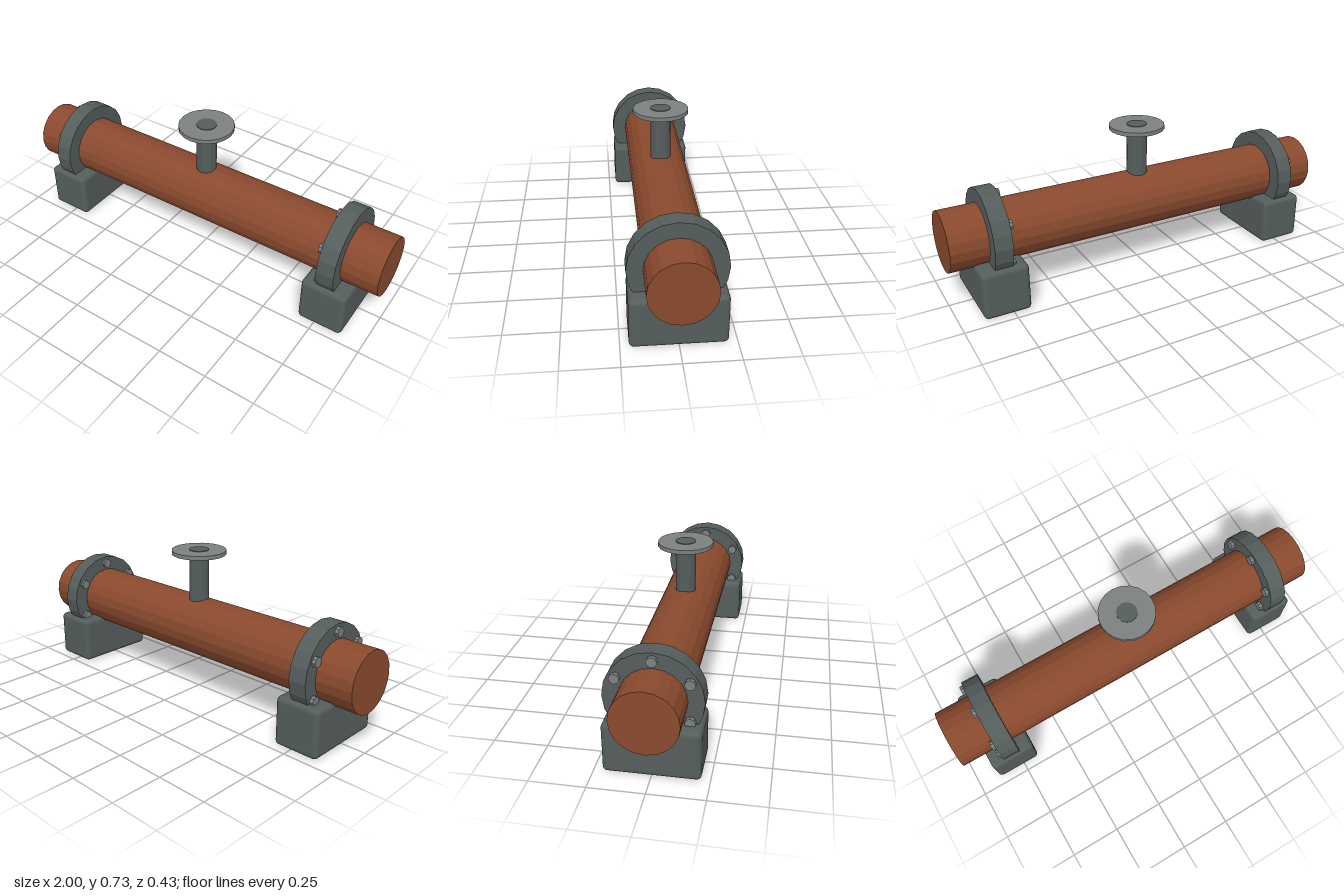
import * as THREE from 'three';
import { RoundedBoxGeometry } from 'three/addons/geometries/RoundedBoxGeometry.js';

export function createModel() {
  const model = new THREE.Group();
  model.name = 'pipeAssembly';

  const material = (name, color, flatShading = false) =>
    Object.assign(new THREE.MeshStandardMaterial({ color, flatShading }), { name });
  const rust = material('rust', 0x8a4a2e, true);
  const iron = material('dark iron', 0x555e5d, true);
  const steel = material('worn steel', 0x7d8181, true);

  const add = (parent, name, geometry, mat, x, y, z) => {
    const mesh = new THREE.Mesh(geometry, mat);
    mesh.name = name;
    mesh.position.set(x, y, z);
    parent.add(mesh);
    return mesh;
  };
  // Cylinder lying along x
  const rod = (radius, length, sides) =>
    new THREE.CylinderGeometry(radius, radius, length, sides).rotateZ(Math.PI / 2);

  const axisY = 0.337;

  // Main pipe
  add(model, 'mainPipe', rod(0.146, 2, 20), rust, 0, axisY, 0);

  // Clamped supports: footing block, flange and ring of bolts
  const blockGeometry = new RoundedBoxGeometry(0.225, 0.236, 0.424, 3, 0.022);
  const flangeGeometry = rod(0.217, 0.086, 20);
  const boltGeometry = rod(0.024, 0.03, 8);
  for (const side of [-1, 1]) {
    const support = new THREE.Group();
    support.name = side < 0 ? 'rightSupport' : 'leftSupport';
    support.position.x = side * 0.777;
    model.add(support);
    // Smooth normals come from the rounded box itself
    add(support, 'footing', blockGeometry, iron, 0, 0.118, 0);
    add(support, 'flange', flangeGeometry, iron, 0, axisY, 0);
    for (let i = 0; i < 6; i++) {
      const a = Math.PI / 2 + (i * Math.PI) / 3;
      add(support, 'bolt', boltGeometry, steel,
        -0.046, axisY + 0.181 * Math.sin(a), 0.181 * Math.cos(a));
    }
  }

  // Valve stem, its end showing at the middle of the handwheel disc
  add(model, 'stem', new THREE.CylinderGeometry(0.05, 0.05, 0.332, 12), iron, 0, 0.566, 0);
  add(model, 'handwheel', new THREE.CylinderGeometry(0.135, 0.135, 0.02, 20), steel, 0, 0.719, 0);

  return model;
}
